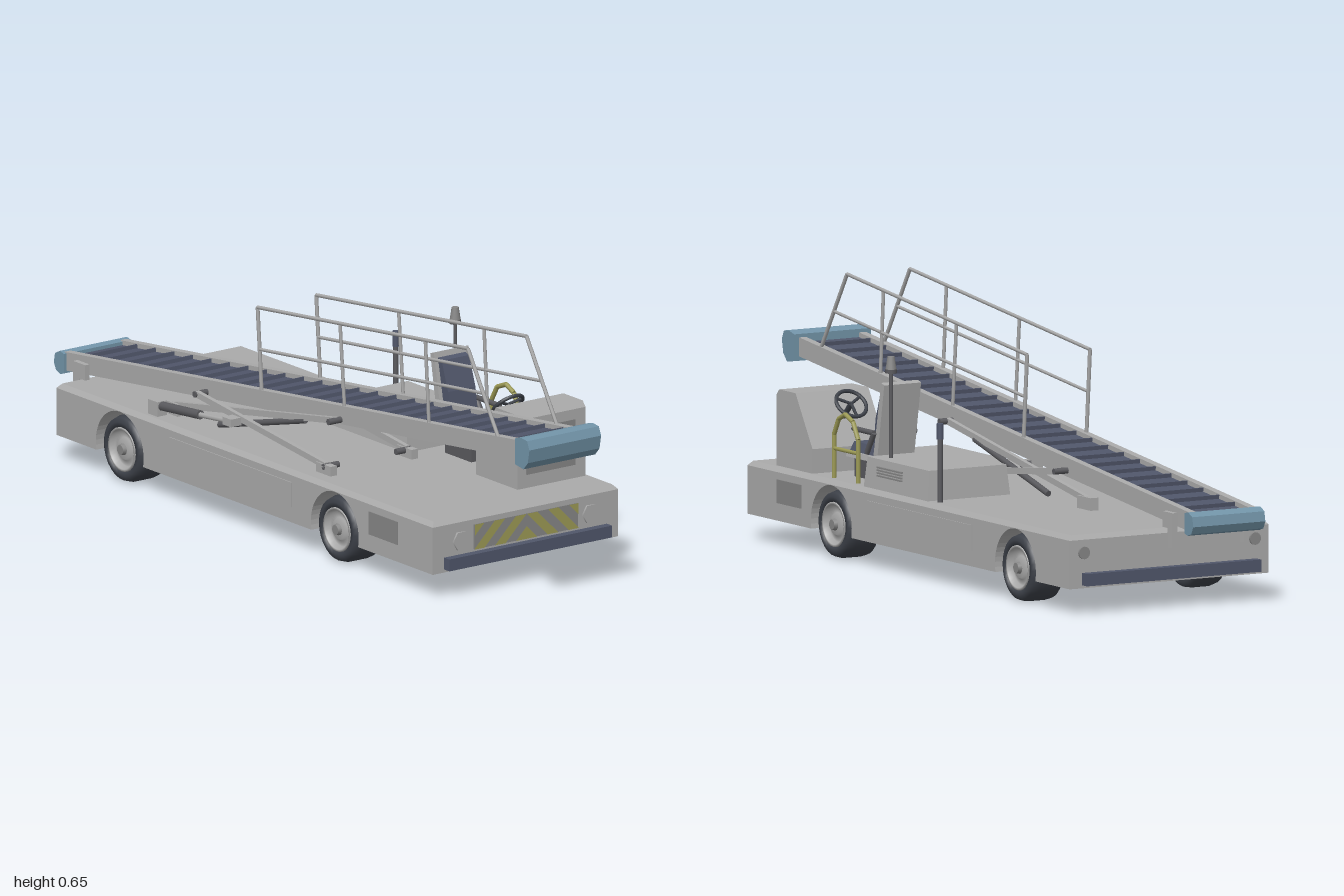
import * as THREE from 'three';

const mat = (name, color) => {
  const m = new THREE.MeshStandardMaterial({ color });
  m.name = name;
  return m;
};

export function createModel() {
  const grey = mat('body grey', 0xaaaaaa);
  const panel = mat('panel grey', 0x868686);
  const slate = mat('belt slate', 0x50566a);
  const blue = mat('roller blue', 0x7294a8);
  const yellow = mat('safety yellow', 0x9c9a55);
  const tyre = mat('tyre black', 0x3c4048);
  const steel = mat('dark steel', 0x5a5a5e);

  const root = new THREE.Group();
  root.name = 'conveyorTruck';

  const add = (name, geo, material, parent = root) => {
    const m = new THREE.Mesh(geo, material);
    m.name = name;
    parent.add(m);
    return m;
  };
  // box given by its limits
  const box = (name, material, x0, x1, y0, y1, z0, z1, parent) =>
    add(name, new THREE.BoxGeometry(x1 - x0, y1 - y0, z1 - z0)
      .translate((x0 + x1) / 2, (y0 + y1) / 2, (z0 + z1) / 2), material, parent);
  // box whose top is drawn in on all sides
  const taperBox = (name, material, x0, x1, y0, y1, z0, z1, inset) => {
    const { geometry } = box(name, material, x0, x1, y0, y1, z0, z1);
    const p = geometry.attributes.position;
    for (let i = 0; i < p.count; i++) {
      if (p.getY(i) < (y0 + y1) / 2) continue;
      p.setX(i, p.getX(i) + (p.getX(i) > (x0 + x1) / 2 ? -inset : inset));
      p.setZ(i, p.getZ(i) + (p.getZ(i) > (z0 + z1) / 2 ? -inset : inset));
    }
    geometry.computeVertexNormals();
  };
  // side profile in (z, y) pushed through from x0 to x1
  const extrudeX = (name, material, profile, x0, x1) => {
    const s = Array.isArray(profile) ? new THREE.Shape(profile.map(p => new THREE.Vector2(...p))) : profile;
    const g = new THREE.ExtrudeGeometry(s, { depth: x1 - x0, bevelEnabled: false, curveSegments: 14 });
    add(name, g.rotateY(-Math.PI / 2).translate(x1, 0, 0), material);
  };
  const rod = (name, material, a, b, r, sides, parent) => {
    const va = new THREE.Vector3(...a), d = new THREE.Vector3(...b).sub(va);
    const m = add(name, new THREE.CylinderGeometry(r, r, d.length(), sides), material, parent);
    m.position.copy(va).addScaledVector(d, 0.5);
    m.quaternion.setFromUnitVectors(new THREE.Vector3(0, 1, 0), d.normalize());
  };
  const path = (name, material, pts, r, sides) => {
    for (let i = 1; i < pts.length; i++) rod(name, material, pts[i - 1], pts[i], r, sides);
  };
  const disc = (name, material, x, y, z, r, sides) =>
    add(name, new THREE.CylinderGeometry(r, r, 0.008, sides).rotateX(Math.PI / 2)
      .rotateZ(Math.PI / 2).translate(x, y, z), material);

  // chassis with wheel arches
  const axles = [-0.62, 0.28], wheelY = 0.087, floorY = 0.065;
  box('chassisCore', grey, -0.18, 0.18, floorY, 0.188, -0.885, 0.69);
  const skirt = new THREE.Shape();
  skirt.moveTo(0.69, floorY).lineTo(0.69, 0.188).lineTo(-0.885, 0.188).lineTo(-0.885, floorY);
  const archA = Math.asin((floorY - wheelY) / 0.1), archX = 0.1 * Math.cos(archA);
  for (const z of axles) {
    skirt.lineTo(z - archX, floorY);
    skirt.absarc(z, wheelY, 0.1, Math.PI - archA, archA, true);
  }
  skirt.lineTo(0.69, floorY);
  for (const s of [-1, 1]) {
    extrudeX('sideSkirt', grey, skirt, s > 0 ? 0.18 : -0.291, s > 0 ? 0.291 : -0.18);
    box('sideHatch', grey, s * 0.2915 - 0.002, s * 0.2915 + 0.002, 0.105, 0.17, -0.41, 0.1);
    box('stepRecess', panel, s * 0.2915 - 0.002, s * 0.2915 + 0.002, 0.11, 0.17, 0.425, 0.545);
    disc('headlight', grey, s * 0.203, 0.14, 0.691, 0.026, 6);
    disc('tailLight', panel, s * 0.25, 0.155, -0.886, 0.016, 16);
  }
  taperBox('deck', grey, -0.291, 0.291, 0.188, 0.2, -0.885, 0.69, 0.011);
  box('frontBumper', slate, -0.255, 0.255, 0.073, 0.104, 0.69, 0.712);
  box('rearBumper', slate, -0.255, 0.255, 0.073, 0.104, -0.91, -0.885);

  // hazard plate with slanting stripes mirrored about the middle
  const W = 0.1625, H = 0.065, sw = 0.033;
  box('hazardPlate', panel, -W, W, 0.11, 0.11 + H, 0.689, 0.693);
  for (let b = 0; b < W + H - 0.01; b += 2 * sw) {
    const e = Math.min(b + sw, W + H);
    const low = c => [Math.min(c, W), c - Math.min(c, W)];
    const high = c => [Math.max(c - H, 0), Math.min(H, c)];
    const pts = [low(b)];
    if (b < W && W < e) pts.push([W, 0]);
    pts.push(low(e), high(e));
    if (b < H && H < e) pts.push([0, H]);
    if (b > 0) pts.push(high(b));
    for (const s of [-1, 1])
      add('hazardStripe', new THREE.ShapeGeometry(new THREE.Shape(
        pts.map(([x, y]) => new THREE.Vector2(s * x, y)))).translate(0, 0.11, 0.695), yellow);
  }

  // wheels: tyre, rim dish and hub, turned about the axle
  const lathe = pts => new THREE.LatheGeometry(pts.map(p => new THREE.Vector2(...p)), 28);
  for (const z of axles) for (const s of [-1, 1]) {
    const w = new THREE.Group();
    w.name = 'wheel';
    add('tyre', lathe([[0, -0.047], [0.07, -0.047], [0.083, -0.038], [0.086, -0.02], [0.086, 0.025],
      [0.081, 0.042], [0.07, 0.048], [0.058, 0.046], [0.056, 0.03]]), tyre, w);
    add('rim', lathe([[0.057, 0.03], [0.057, 0.047], [0.051, 0.047], [0.046, 0.032],
      [0.03, 0.034], [0.026, 0.042], [0, 0.042]]), grey, w);
    add('hub', new THREE.CylinderGeometry(0.013, 0.016, 0.012, 12).translate(0, 0.046, 0), panel, w);
    w.rotation.z = -s * Math.PI / 2;
    w.position.set(s * 0.238, wheelY, z);
    root.add(w);
  }

  // sloping conveyor
  const cx = -0.1075, conveyor = new THREE.Group();
  conveyor.name = 'conveyor';
  conveyor.position.set(cx, 0.331, 0);
  conveyor.rotation.x = -0.1103;
  root.add(conveyor);
  for (const s of [-1, 1])
    box('sideRail', grey, s * 0.0875 - 0.01, s * 0.0875 + 0.01, -0.024, 0.024, -0.97, 0.965, conveyor);
  box('belt', slate, -0.0778, 0.0778, -0.02, 0.012, -0.97, 0.965, conveyor);
  for (let i = 0; i < 24; i++) {
    const z = -0.9 + i * 0.078;
    box('beltCleat', slate, -0.0775, 0.0775, 0.012, 0.022, z - 0.002, z + 0.002, conveyor);
  }
  extrudeX('frontRoller', blue, [[0.94, 0.4], [0.975, 0.395], [0.993, 0.415], [1, 0.45],
    [0.99, 0.472], [0.965, 0.475], [0.94, 0.468]], -0.22, 0.005);
  extrudeX('rearRoller', blue, [[-0.957, 0.195], [-0.957, 0.246], [-0.975, 0.25], [-0.995, 0.24],
    [-1, 0.215], [-0.99, 0.196], [-0.972, 0.19]], -0.213, -0.002);

  for (const s of [-1, 1]) {
    // handrails
    const x = cx + s * 0.092;
    path('handrail', grey, [[x, 0.44, 0.845], [x, 0.647, 0.715], [x, 0.55, -0.165], [x, 0.335, -0.148]], 0.005, 6);
    rod('middleRail', grey, [x, 0.545, 0.78], [x, 0.442, -0.157], 0.0045, 6);
    rod('railPost', grey, [x, 0.4, 0.553], [x, 0.628, 0.537], 0.0045, 6);
    rod('railPost', grey, [x, 0.36, 0.2], [x, 0.588, 0.18], 0.0045, 6);

    // crossed lifting arms with pivots and feet
    const ax = cx + s * 0.11, bx = cx + s * 0.127;
    const arm = (name, px, y0, z0, y1, z1) => extrudeX(name, grey,
      [[z0, y0 - 0.008], [z1, y1 - 0.008], [z1, y1 + 0.008], [z0, y0 + 0.008]], px - 0.006, px + 0.006);
    arm('liftArm', ax, 0.34, 0.19, 0.222, -0.5);
    arm('crossArm', bx, 0.22, 0.17, 0.282, -0.37);
    for (const [y, z] of [[0.34, 0.19], [0.282, -0.37], [0.218, 0.17]])
      rod('pivotPin', steel, [ax - s * 0.02, y, z], [bx + s * 0.01, y, z], 0.008, 10);
    box('armFoot', grey, ax - 0.012, ax + 0.012, 0.2, 0.232, -0.525, -0.46);
    box('armFoot', grey, bx - 0.01, bx + 0.01, 0.2, 0.225, 0.14, 0.2);
    rod('liftCylinder', steel, [ax, 0.215, -0.3], [ax, 0.31, 0.06], 0.008, 8);
    // rear hinge bracket
    const hingeX = cx + s * 0.105;
    extrudeX('hingeBracket', grey, [[-0.86, 0.2], [-0.86, 0.24], [-0.91, 0.24], [-0.91, 0.15],
      [-0.886, 0.15], [-0.886, 0.2]], hingeX - 0.007, hingeX + 0.007);
  }

  // hydraulic ram lying on the deck edge
  rod('ramBody', steel, [-0.255, 0.225, -0.5], [-0.255, 0.24, -0.33], 0.012, 10);
  rod('ramRod', grey, [-0.255, 0.24, -0.33], [-0.255, 0.253, -0.2], 0.007, 8);
  box('ramFoot', grey, -0.27, -0.24, 0.2, 0.238, -0.53, -0.49);
  box('ramHead', grey, -0.272, -0.238, 0.245, 0.265, -0.215, -0.18);

  // engine cover
  taperBox('engineCover', grey, 0.037, 0.278, 0.2, 0.276, -0.17, 0.143, 0.007);
  for (let i = 0; i < 4; i++)
    box('engineVent', panel, 0.272, 0.279, 0.233 + i * 0.007, 0.237 + i * 0.007, -0.04, 0.08);

  // driver console
  extrudeX('console', grey, [[0.577, 0.2], [0.577, 0.38], [0.565, 0.394], [0.485, 0.394],
    [0.402, 0.262], [0.402, 0.2]], 0.06, 0.273);
  box('consoleGrille', panel, 0.087, 0.24, 0.235, 0.354, 0.575, 0.58);
  const steering = new THREE.Group();
  steering.name = 'steeringWheel';
  add('steeringRim', new THREE.TorusGeometry(0.041, 0.005, 8, 24), tyre, steering);
  for (let i = 0; i < 3; i++) {
    const a = Math.PI / 2 + i * Math.PI * 2 / 3;
    rod('spoke', tyre, [0, 0, 0], [0.04 * Math.cos(a), 0.04 * Math.sin(a), 0], 0.004, 6, steering);
  }
  rod('steeringColumn', tyre, [0, 0, 0], [0, 0, -0.06], 0.007, 8, steering);
  steering.position.set(0.155, 0.368, 0.41);
  steering.rotation.x = -Math.PI * 0.75;
  root.add(steering);

  // driver seat
  box('seatBase', steel, 0.115, 0.205, 0.2, 0.25, 0.2, 0.31);
  taperBox('seatPan', grey, 0.1, 0.22, 0.25, 0.264, 0.19, 0.328, 0.003);
  taperBox('seatCushion', slate, 0.11, 0.21, 0.264, 0.288, 0.195, 0.325, 0.008);
  extrudeX('seatShell', grey, [[0.205, 0.255], [0.165, 0.455], [0.15, 0.45], [0.185, 0.255]], 0.106, 0.214);
  extrudeX('seatBack', slate, [[0.222, 0.28], [0.21, 0.36], [0.183, 0.436], [0.167, 0.441], [0.199, 0.28]], 0.117, 0.203);
  for (const x of [0.1, 0.22])
    path('armrest', steel, [[x, 0.27, 0.225], [x, 0.325, 0.19], [x, 0.325, 0.29]], 0.007, 8);

  // safety hoop beside the seat
  const hx = 0.262;
  path('safetyHoop', yellow, [[hx, 0.2, 0.315], [hx, 0.31, 0.315], [hx, 0.352, 0.292], [hx, 0.367, 0.26],
    [hx, 0.352, 0.222], [hx, 0.31, 0.197], [hx, 0.2, 0.197]], 0.006, 8);
  rod('hoopBar', yellow, [hx, 0.275, 0.315], [hx, 0.275, 0.197], 0.005, 8);

  // beacon mast and exhaust stack
  rod('beaconMast', steel, [0.233, 0.2, 0.085], [0.233, 0.495, 0.085], 0.005, 10);
  add('beaconBase', new THREE.CylinderGeometry(0.015, 0.015, 0.01, 14).translate(0.233, 0.496, 0.085), steel);
  add('beaconLamp', new THREE.CylinderGeometry(0.009, 0.014, 0.033, 14).translate(0.233, 0.517, 0.085), panel);
  rod('exhaustStack', steel, [0.26, 0.2, -0.2], [0.26, 0.36, -0.2], 0.007, 10);
  rod('exhaustTip', slate, [0.26, 0.36, -0.2], [0.26, 0.4, -0.2], 0.009, 10);

  return root;
}
